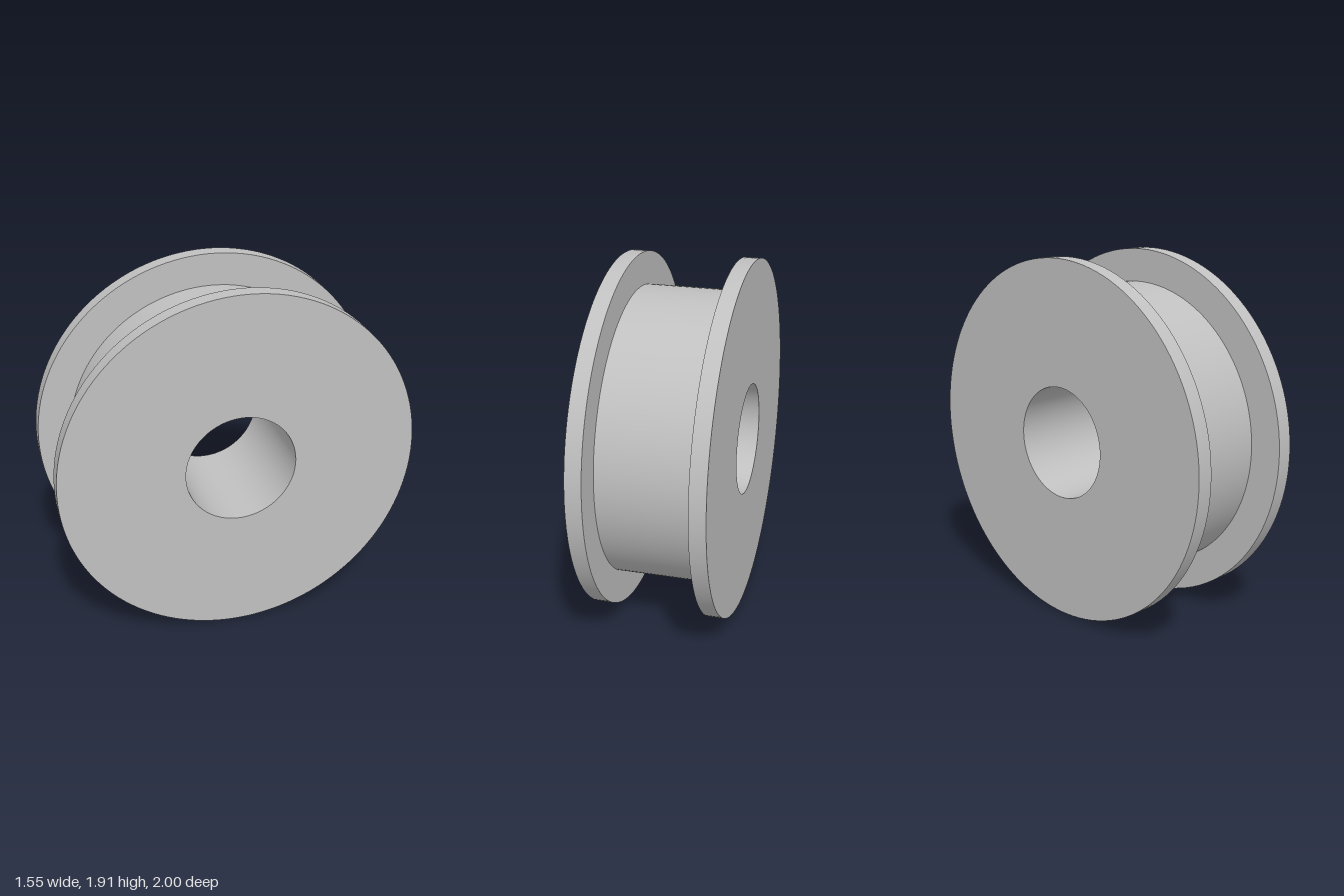
import * as THREE from 'three';
import { toCreasedNormals } from 'three/addons/utils/BufferGeometryUtils.js';

const RIM = 0.955;        // flange radius
const BARREL = 0.78;      // barrel radius
const BORE = 0.296;       // centre hole radius
const HALF = 0.344;       // half the overall length
const INNER = 0.258;      // distance from centre to a flange's inner face

export function createModel() {
  const model = new THREE.Group();
  const grey = new THREE.MeshStandardMaterial({ color: 0xc0c0c0 });
  grey.name = 'plain grey';

  // The spool is built upright about y, then laid down and turned
  const spool = new THREE.Group();
  spool.name = 'spool';

  const turned = (name, profile) => {
    const points = profile.map(([r, y]) => new THREE.Vector2(r, y));
    const geometry = toCreasedNormals(new THREE.LatheGeometry(points, 128), 0.6);
    const mesh = new THREE.Mesh(geometry, grey);
    mesh.name = name;
    spool.add(mesh);
    return mesh;
  };

  // Flange: inner face, rim, outer face up to the hole
  const flange = [[BARREL, INNER], [RIM, INNER], [RIM, HALF], [BORE, HALF]];
  turned('leftFlange', flange);
  turned('rightFlange', flange).rotation.x = Math.PI;

  // Barrel between the flanges, and the hole right through
  turned('barrel', [[BARREL, -INNER], [BARREL, INNER]]);
  turned('bore', [[BORE, HALF], [BORE, -HALF]]);

  spool.rotation.z = -Math.PI / 2;
  const turn = new THREE.Group();
  turn.name = 'turnedSpool';
  turn.rotation.y = -Math.PI / 6;
  turn.position.y = RIM;
  turn.add(spool);
  model.add(turn);
  return model;
}
